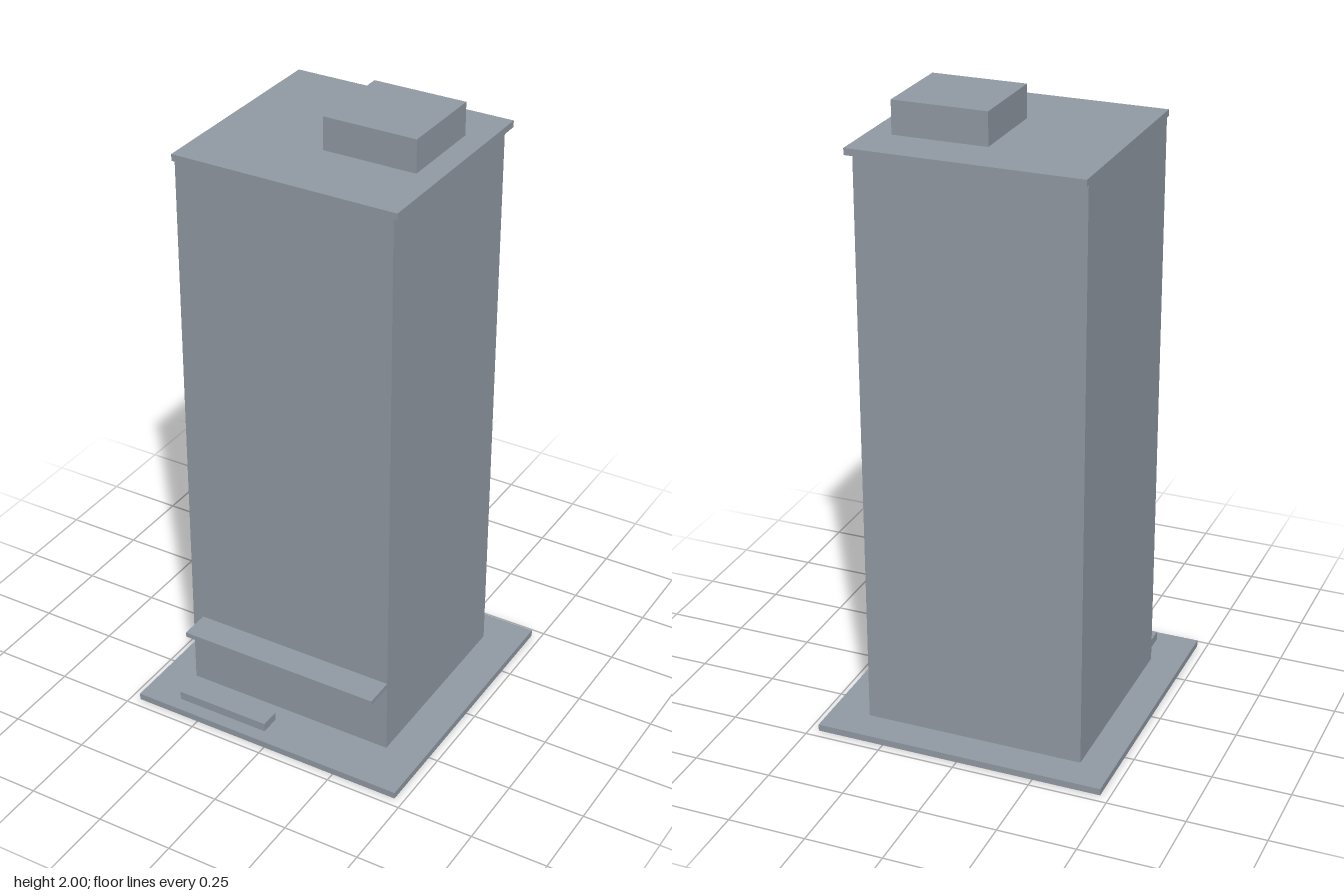
import * as THREE from 'three';

export function createModel() {
  const model = new THREE.Group();
  model.name = 'towerBlock';
  const grey = new THREE.MeshStandardMaterial({ color: 0x929ba5 });
  grey.name = 'concreteGrey';

  // Adds a box from its [min, max] extents on each axis
  function block(name, [x0, x1], [y0, y1], [z0, z1]) {
    const mesh = new THREE.Mesh(new THREE.BoxGeometry(x1 - x0, y1 - y0, z1 - z0), grey);
    mesh.name = name;
    mesh.position.set((x0 + x1) / 2, (y0 + y1) / 2, (z0 + z1) / 2);
    model.add(mesh);
  }

  // Ground slab and the main shaft
  block('groundSlab', [-0.47, 0.47], [0, 0.022], [-0.47, 0.47]);
  block('towerShaft', [-0.365, 0.345], [0.022, 1.875], [-0.36, 0.3]);

  // Overhanging roof with its plant room
  block('roofSlab', [-0.366, 0.364], [1.875, 1.896], [-0.377, 0.314]);
  block('roofPlantRoom', [-0.01, 0.29], [1.896, 2], [-0.216, 0.075]);

  // Entrance canopy and the low planter in front
  block('entranceCanopy', [-0.329, 0.345], [0.26, 0.276], [0.3, 0.398]);
  block('planter', [-0.342, -0.025], [0.022, 0.051], [0.36, 0.425]);

  return model;
}
